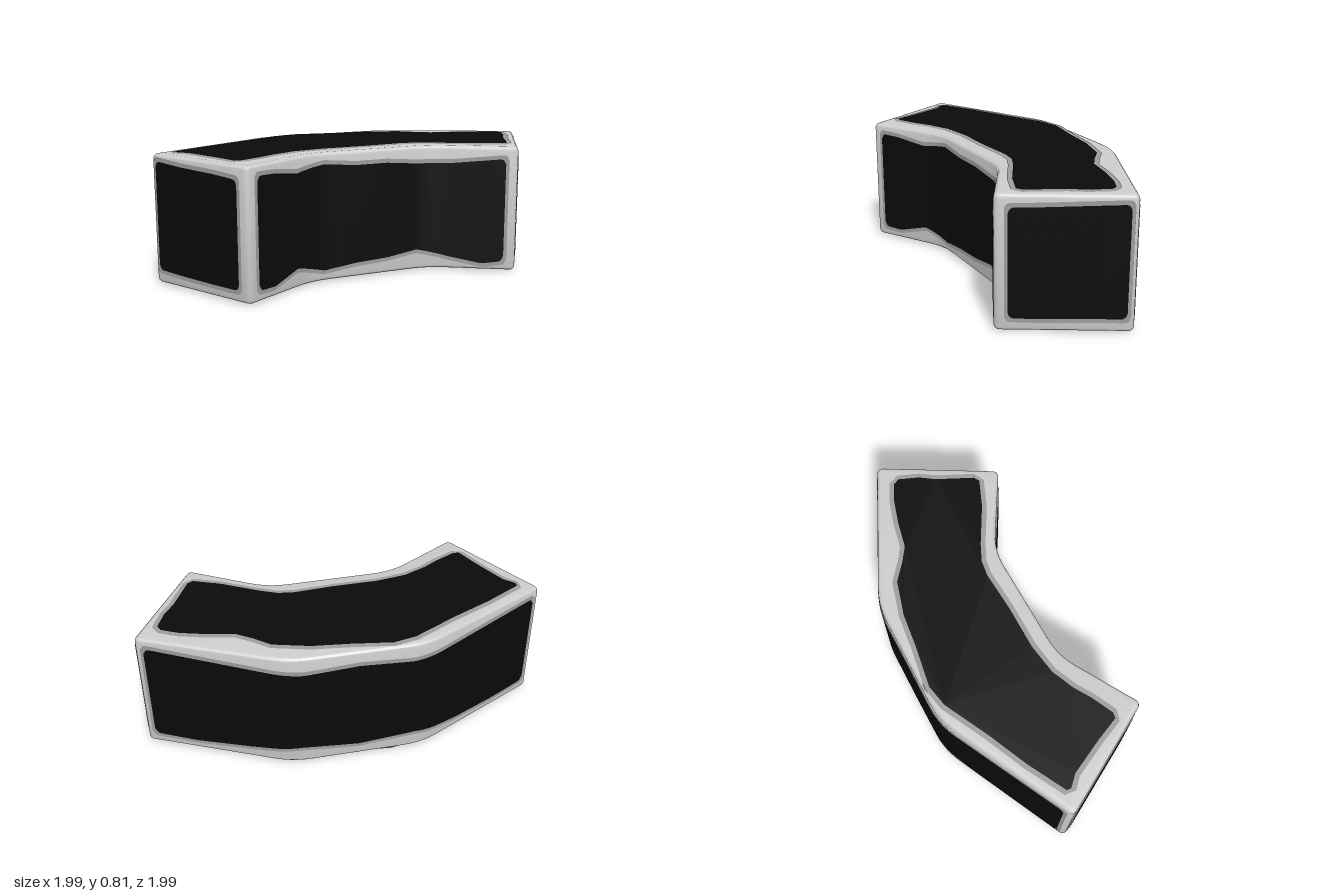
import * as THREE from 'three';
import { toCreasedNormals } from 'three/addons/utils/BufferGeometryUtils.js';

const H = 0.815, SKIN = 0.006;
const mat = (name, color, side = THREE.FrontSide) => {
  const m = new THREE.MeshStandardMaterial({ color, side });
  m.name = name;
  return m;
};

// Plan corners as [x, -z], clockwise from above, with corner rounding
const OUTLINE = [
  [-1.005, -0.795, 0.04], [-0.69, 0.11, 0.12], [-0.1, 0.69, 0.12], [0.8, 1.005, 0.04],
  [1.005, 0.245, 0.04], [0.46, 0.11, 0.12], [-0.1, -0.46, 0.12], [-0.245, -1.005, 0.04],
];

// Panel edge on the flat faces as [x, z]
const TOP_EDGE = [
  [-0.88, 0.72], [-0.8, 0.46], [-0.7, 0.2], [-0.6, -0.1], [-0.52, -0.22], [-0.31, -0.37], [-0.13, -0.51],
  [0.07, -0.62], [0.2, -0.63], [0.31, -0.65], [0.45, -0.74], [0.6, -0.82], [0.71, -0.855], [0.75, -0.84],
  [0.8, -0.72], [0.82, -0.61], [0.9, -0.38], [0.89, -0.34], [0.72, -0.27], [0.46, -0.2], [0.35, -0.16],
  [0.27, -0.1], [0.1, 0.09], [-0.1, 0.29], [-0.22, 0.45], [-0.28, 0.6], [-0.31, 0.72], [-0.36, 0.86],
  [-0.39, 0.88], [-0.54, 0.82], [-0.77, 0.74], [-0.86, 0.74],
];

// Adds a corner softened by a curve that starts and ends r away from it
function roundCorner(path, prev, corner, next, first) {
  const c = new THREE.Vector2(corner[0], corner[1]);
  const toward = (p) => new THREE.Vector2(p[0], p[1]).sub(c).setLength(corner[2]).add(c);
  const a = toward(prev), b = toward(next);
  if (first) path.moveTo(a.x, a.y);
  else path.lineTo(a.x, a.y);
  path.quadraticCurveTo(c.x, c.y, b.x, b.y);
}

function bodyGeometry() {
  const shape = new THREE.Shape();
  const n = OUTLINE.length;
  OUTLINE.forEach((c, i) => roundCorner(shape, OUTLINE[(i + n - 1) % n], c, OUTLINE[(i + 1) % n], i === 0));
  shape.closePath();
  const bevel = 0.03;
  const geo = new THREE.ExtrudeGeometry(shape, {
    depth: H - 2 * SKIN - 2 * bevel, bevelThickness: bevel, bevelSize: bevel,
    bevelOffset: -bevel, bevelSegments: 3, curveSegments: 5,
  });
  geo.rotateX(-Math.PI / 2).translate(0, SKIN + bevel, 0);
  return toCreasedNormals(geo, 0.5);
}

// Flat panel whose edge is pushed outward by grow
function flatPanel(grow, y) {
  const n = TOP_EDGE.length;
  const pts = TOP_EDGE.map(([x, z], i) => {
    const p = TOP_EDGE[(i + n - 1) % n], q = TOP_EDGE[(i + 1) % n];
    const t = new THREE.Vector2(q[0] - p[0], p[1] - q[1]).normalize();
    return new THREE.Vector2(x - t.y * grow, -z + t.x * grow);
  });
  return new THREE.ShapeGeometry(new THREE.Shape(pts)).rotateX(-Math.PI / 2).translate(0, y, 0);
}

// Linear lookup in an evenly spaced list
function sample(list, u) {
  const f = u * (list.length - 1), i = Math.min(Math.floor(f), list.length - 2);
  return THREE.MathUtils.lerp(list[i], list[i + 1], f - i);
}

// Upright panel following the plan corners, with wavy lower and upper edges
function wallPanel({ corners, insets, low, high }, grow, side, lift) {
  const path = new THREE.Path();
  path.moveTo(corners[0][0], corners[0][1]);
  for (let i = 1; i < corners.length - 1; i++) roundCorner(path, corners[i - 1], corners[i], corners[i + 1], false);
  const last = corners[corners.length - 1];
  path.lineTo(last[0], last[1]);

  const len = path.getLength(), from = insets[0] - side, to = len - insets[1] + side;
  const steps = 120, r = 0.035, pos = [], index = [];
  for (let i = 0; i <= steps; i++) {
    const s = THREE.MathUtils.lerp(from, to, i / steps), u = s / len;
    const p = path.getPoint(u), t = path.getTangent(u);
    const d = Math.min(s - from, to - s, r);
    const pull = r - Math.sqrt(Math.max(0, r * r - (r - d) ** 2));
    const x = p.x - t.y * lift, z = -(p.y + t.x * lift);
    pos.push(x, sample(low, u) - grow + pull, z, x, sample(high, u) + grow - pull, z);
    const k = i * 2;
    if (i < steps) index.push(k, k + 1, k + 2, k + 2, k + 1, k + 3);
  }
  const geo = new THREE.BufferGeometry();
  geo.setAttribute('position', new THREE.Float32BufferAttribute(pos, 3));
  geo.setIndex(index);
  geo.computeVertexNormals();
  return geo;
}

export function createModel() {
  const model = new THREE.Group();
  model.name = 'curvedBlock';
  const frame = mat('lightGrey', 0xcccccc);
  const rim = mat('midGrey', 0x9c9c9c, THREE.DoubleSide);
  const black = mat('black', 0x0a0a0a, THREE.DoubleSide);
  const add = (name, geo, material) => {
    const mesh = new THREE.Mesh(geo, material);
    mesh.name = name;
    model.add(mesh);
  };

  add('body', bodyGeometry(), frame);

  // Top and bottom panels with their grey rims
  add('topRim', flatPanel(0.03, H - 0.003), rim);
  add('topPanel', flatPanel(0, H), black);
  add('bottomRim', flatPanel(0.03, 0.003), rim);
  add('bottomPanel', flatPanel(0, 0), black);

  // Wall panels around the sides
  const walls = {
    outer: {
      corners: OUTLINE.slice(0, 4), insets: [0.06, 0.06],
      low: [0.09, 0.08, 0.09, 0.13, 0.1, 0.13, 0.1, 0.08, 0.09],
      high: [0.75, 0.73, 0.71, 0.69, 0.71, 0.69, 0.71, 0.73, 0.75],
    },
    leftEnd: {
      corners: OUTLINE.slice(3, 5), insets: [0.045, 0.08],
      low: [0.09, 0.09, 0.085, 0.09], high: [0.76, 0.75, 0.74, 0.735],
    },
    inner: {
      corners: OUTLINE.slice(4), insets: [0.075, 0.075],
      low: [0.08, 0.05, 0.09, 0.14, 0.11, 0.1, 0.075, 0.13, 0.07, 0.08],
      high: [0.74, 0.72, 0.7, 0.7, 0.72, 0.72, 0.74, 0.71, 0.74, 0.75],
    },
    rightEnd: {
      corners: [OUTLINE[7], OUTLINE[0]], insets: [0.08, 0.045],
      low: [0.08, 0.08, 0.085, 0.095], high: [0.72, 0.74, 0.75, 0.77],
    },
  };
  for (const [name, wall] of Object.entries(walls)) {
    add(name + 'Rim', wallPanel(wall, 0.025, 0.02, 0.003), rim);
    add(name + 'Panel', wallPanel(wall, 0, 0, 0.006), black);
  }
  return model;
}
